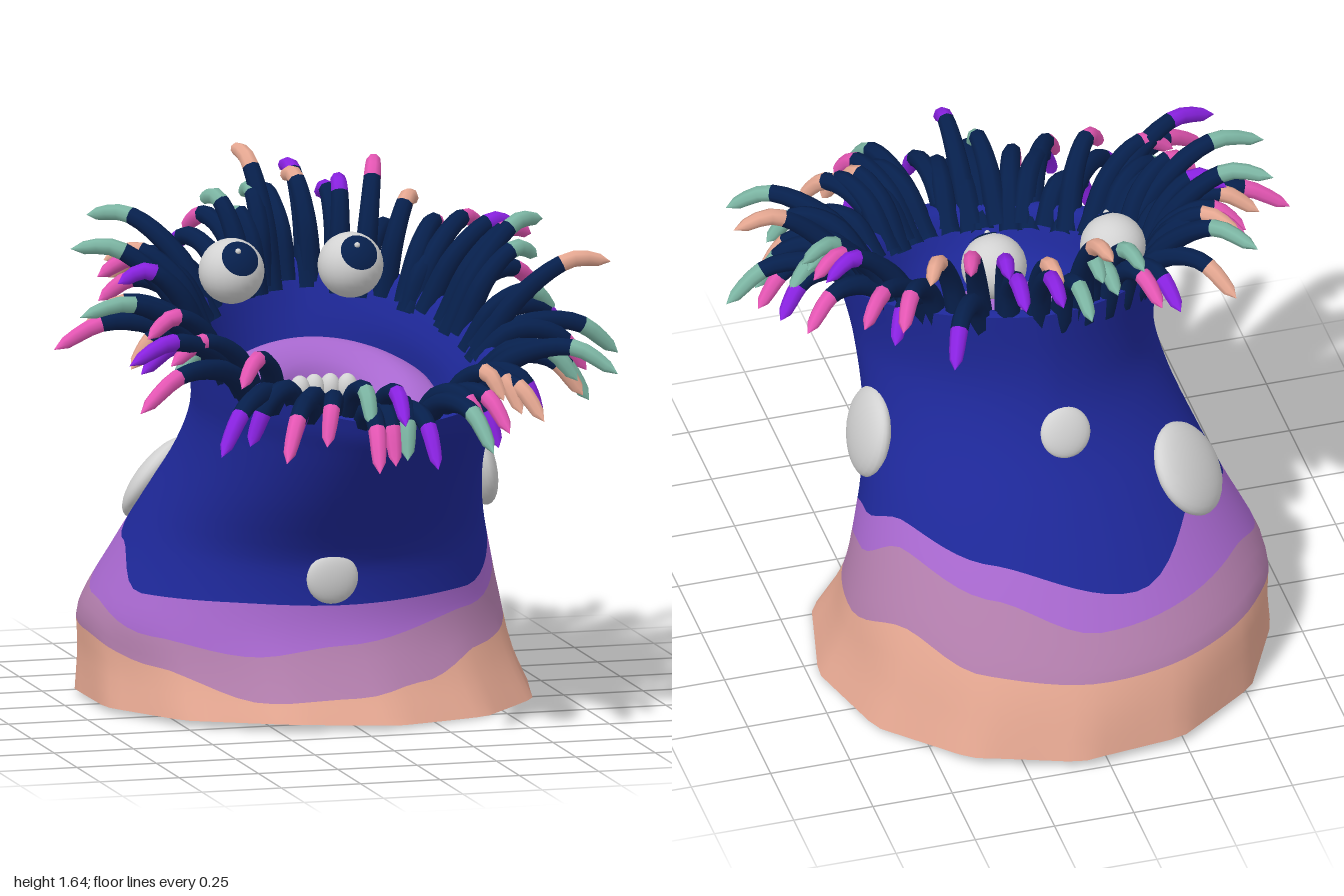
import * as THREE from 'three';

const mat = (name, color) => Object.assign(new THREE.MeshStandardMaterial({ color }), { name });
const white = mat('white', 0xd2d2d2), peach = mat('peach', 0xe6a892), mauve = mat('mauve', 0xb47fae);
const purple = mat('purple', 0xa868cf), blue = mat('blue', 0x1e2899), navy = mat('navy', 0x07204d);
const teal = mat('teal', 0x7cb5a3), pink = mat('pink', 0xe556b4), violet = mat('violet', 0x8a22e2);
const grey = mat('underside grey', 0xb2b2b2);

const TAU = Math.PI * 2, SIDES = 78, rad = THREE.MathUtils.degToRad, ramp = THREE.MathUtils.smoothstep;
let seed = 11;
const rand = () => (seed = (seed * 16807) % 2147483647) / 2147483647;
const vary = (s) => (rand() - 0.5) * 2 * s;

// Tilted oval rings: front z, front y, back z, back y, min x, max x
const OUTER = [
  [0.42, 0.03, -1.0, 0.03, -0.685, 0.72], [0.33, 0.15, -0.96, 0.15, -0.67, 0.66],
  [0.26, 0.28, -0.9, 0.28, -0.665, 0.62], [0.25, 0.42, -0.757, 0.5, -0.58, 0.57],
  [0.28, 0.53, -0.635, 0.67, -0.515, 0.53], [0.42, 0.7, -0.52, 0.83, -0.45, 0.49],
  [0.55, 0.85, -0.46, 0.97, -0.42, 0.485], [0.61, 0.92, -0.44, 1.12, -0.43, 0.5],
  [0.64, 0.98, -0.45, 1.31, -0.45, 0.53],
];
const INNER = [
  [0.64, 0.98, -0.45, 1.31, -0.45, 0.53], [0.56, 1.0, -0.4, 1.3, -0.4, 0.46],
  [0.48, 0.89, -0.35, 1.15, -0.37, 0.39], [0.34, 0.83, -0.31, 1.03, -0.35, 0.36],
  [0.31, 0.88, -0.28, 1.08, -0.33, 0.33], [0.22, 0.91, -0.2, 1.1, -0.24, 0.24],
  [0.13, 0.86, -0.12, 1.03, -0.15, 0.15], [0.11, 0.78, -0.1, 0.88, -0.13, 0.13],
  [0.01, 0.77, 0, 0.78, -0.005, 0.005],
];

// Where each long tentacle ends, by tip colour
const TIPS = [
  [teal, [[0.25, 0.94, 0.97], [0.74, 1.1, 0.63], [0.87, 1.08, 0.18], [0.71, 1.19, 0.04], [0.73, 1.44, -0.16],
    [-0.24, 1.48, -0.54], [-0.16, 1.4, -0.53], [-0.61, 1.46, -0.5], [-0.77, 1.43, -0.12], [-0.85, 1.29, 0.26]]],
  [peach, [[0.47, 0.99, 0.76], [0.36, 1.05, 0.7], [0.69, 1.0, 0.42], [0.85, 1.36, 0.17], [-0.11, 1.62, -0.65],
    [-0.62, 1.36, -0.28], [-0.76, 1.22, 0.0]]],
  [pink, [[0.33, 0.98, 0.87], [0.73, 1.22, -0.22], [0.62, 1.38, -0.46], [0.31, 1.58, -0.55], [-0.88, 1.16, 0.08],
    [-0.76, 1.05, 0.61], [-0.37, 0.92, 0.86], [-0.22, 0.95, 0.78], [-0.1, 0.89, 0.94]]],
  [violet, [[-0.03, 1.04, 0.98], [0.09, 0.89, 0.92], [-0.53, 0.92, 0.7], [-0.78, 1.19, 0.56], [-0.68, 1.12, 0.34],
    [0.07, 1.54, -0.73], [0.18, 1.52, -0.52], [0.5, 1.24, -0.38]]],
];

// Smooth surface through rings; angle 0 is the front, 90 degrees is +x.
// flatten(v) pulls in the back +x and front -x quarters.
function ringSurface(rings, flatten) {
  const spline = (f) => new THREE.CatmullRomCurve3(rings.map(f), false, 'catmullrom', 0.5);
  const front = spline((r) => new THREE.Vector3(r[5], r[1], r[0]));
  const back = spline((r) => new THREE.Vector3(r[4], r[3], r[2]));
  return (v, a) => {
    const f = front.getPoint(v), b = back.getPoint(v);
    const k = 1 - 0.08 * flatten(v) * Math.max(0, -Math.sin(2 * a));
    const s = Math.sin(a) * k, t = (1 - Math.cos(a) * k) / 2;
    return new THREE.Vector3((f.x + b.x) / 2 + (f.x - b.x) / 2 * s,
      f.y + (b.y - f.y) * t, f.z + (b.z - f.z) * t);
  };
}
const outerSmooth = ringSurface(OUTER, (v) => ramp(v, 0.5, 0.85));
const inner = ringSurface(INNER, (v) => 1 - ramp(v, 0.2, 0.4));

// The foot fades into an uneven 13-sided outline
function outer(v, a) {
  const p = outerSmooth(v, a), fade = Math.max(0, 1 - v / 0.25), step = TAU / 13;
  const local = ((a - rad(7.8) + step) % step) - step / 2;
  const k = 1 + (Math.cos(step / 2) / Math.cos(local) - 1) * fade;
  p.x *= k;
  p.z = -0.29 + (p.z + 0.29) * k;
  p.y -= 0.03 * fade * Math.max(0, Math.cos(a - rad(60)), 0.5 * Math.cos(a - rad(270)));
  return p;
}

// Find the surface parameter that gives a height at an angle
function atHeight(y, a) {
  let lo = 0, hi = 1;
  for (let i = 0; i < 24; i++) {
    const m = (lo + hi) / 2;
    if (outer(m, a).y < y) lo = m; else hi = m;
  }
  return lo;
}

// Closed band-coloured skin: bounds[k](angle) are the surface parameters between bands
function skin(name, surface, bounds, counts, materials) {
  const pos = [], index = [], geo = new THREE.BufferGeometry();
  const addRow = (k, t) => {
    for (let i = 0; i < SIDES; i++) {
      const a = i / SIDES * TAU, v0 = bounds[k](a), v1 = bounds[k + 1](a);
      pos.push(...surface(v0 + (v1 - v0) * t, a).toArray());
    }
  };
  addRow(0, 0);
  let row = 0;
  counts.forEach((n, k) => {
    geo.addGroup(index.length, n * SIDES * 6, k);
    for (let j = 1; j <= n; j++, row++) {
      addRow(k, j / n);
      for (let i = 0; i < SIDES; i++) {
        const a = row * SIDES + i, b = row * SIDES + (i + 1) % SIDES;
        index.push(a, b, a + SIDES, b, b + SIDES, a + SIDES);
      }
    }
  });
  geo.setAttribute('position', new THREE.Float32BufferAttribute(pos, 3));
  geo.setIndex(index);
  geo.computeVertexNormals();
  const mesh = new THREE.Mesh(geo, materials);
  mesh.name = name;
  return mesh;
}

// Wavy colour edge through [degrees, height] points
function wave(points) {
  return (a) => {
    const d = a * 360 / TAU, all = [...points, [360, points[0][1]]];
    const i = Math.max(1, all.findIndex((p) => p[0] >= d)), [d0, y0] = all[i - 1], [d1, y1] = all[i];
    return atHeight(y0 + (y1 - y0) * ramp(d, d0, d1), a);
  };
}

function ball(name, r, material, p, parent) {
  const m = new THREE.Mesh(new THREE.SphereGeometry(r, 24, 16), material);
  m.name = name;
  m.position.set(...p);
  parent.add(m);
  return m;
}

// Tapered tentacle arching from the rim to its coloured tip
const rimNormal = new THREE.Vector3(0, 0.957, 0.29);
function tentacle(base, tip, tipMaterial) {
  const at = (t, lift) => base.clone().lerp(tip, t).addScaledVector(rimNormal, lift);
  const curve = new THREE.CatmullRomCurve3([at(0, -0.05), at(0.28, 0.08), at(0.68, 0.1), tip]);
  const SEG = 14, RAD = 8, split = 10, v = new THREE.Vector3();
  const geo = new THREE.TubeGeometry(curve, SEG, 1, RAD), p = geo.attributes.position;
  for (let i = 0; i < p.count; i++) {
    const t = Math.floor(i / (RAD + 1)) / SEG, c = curve.getPointAt(t);
    const size = 0.039 * (1 - 0.42 * t) * Math.sqrt(Math.max(0, 1 - t ** 16));
    v.fromBufferAttribute(p, i).sub(c).multiplyScalar(size).add(c);
    p.setXYZ(i, v.x, v.y, v.z);
  }
  geo.addGroup(0, split * RAD * 6, 0);
  geo.addGroup(split * RAD * 6, (SEG - split) * RAD * 6, 1);
  const m = new THREE.Mesh(geo, [navy, tipMaterial]);
  m.name = 'tentacle';
  return m;
}

export function createModel() {
  const model = new THREE.Group();
  model.name = 'tentacledCreature';

  // Body with three wavy bands below the blue
  const peachTop = wave([[0, 0.09], [20, 0.12], [45, 0.19], [90, 0.25], [120, 0.33], [145, 0.27],
    [180, 0.25], [236, 0.26], [270, 0.22], [305, 0.16], [335, 0.08]]);
  const mauveTop = wave([[0, 0.24], [45, 0.31], [90, 0.43], [117, 0.53], [150, 0.47], [180, 0.38],
    [236, 0.41], [270, 0.33], [305, 0.25], [335, 0.21]]);
  const purpleTop = wave([[0, 0.36], [45, 0.37], [90, 0.53], [117, 0.6], [150, 0.56], [195, 0.46],
    [232, 0.61], [266, 0.5], [295, 0.37], [325, 0.37]]);
  model.add(skin('body', outer, [() => 0, peachTop, mauveTop, purpleTop, () => 1], [4, 3, 3, 18],
    [peach, mauve, purple, blue]));

  // Underside
  const foot = new THREE.Mesh(skin('', outer, [() => 0, () => 0], [1], [grey]).geometry, grey);
  const fp = foot.geometry.attributes.position;
  for (let i = 0; i < SIDES; i++) fp.setXYZ(i, 0, 0.025, -0.29);
  foot.geometry.clearGroups();
  foot.geometry.computeVertexNormals();
  foot.name = 'underside';
  model.add(foot);

  // Funnel, swollen lip and throat
  model.add(skin('mouth', inner, [0, 3 / 8, 6.3 / 8, 1].map((v) => () => v), [12, 14, 8],
    [blue, purple, blue]));

  // Teeth along the back of the throat
  for (let i = 0; i < 4; i++) {
    ball('tooth', 0.036, white, [-0.06 + i * 0.05, 0.965, -0.075 - (i % 3 ? 0.015 : 0)], model)
      .scale.set(0.9, 1.3, 0.9);
  }

  // Pale flattened spots: degrees, height, radius
  for (const [deg, y, r] of [[355, 0.445, 0.08], [91, 0.72, 0.14], [232, 0.65, 0.15], [184, 0.89, 0.08]]) {
    const a = rad(deg), v = atHeight(y, a), p = outer(v, a);
    const du = outer(v, a + 0.02).sub(p), dv = outer(v + 0.01, a).sub(p);
    const spot = ball('spot', r, white, p.toArray(), model);
    spot.quaternion.setFromUnitVectors(new THREE.Vector3(0, 0, 1), du.cross(dv).normalize());
    spot.scale.z = 0.36;
  }

  // Eyes
  for (const x of [-0.245, 0.13]) {
    const eye = new THREE.Group();
    eye.name = 'eye';
    eye.position.set(x, 1.325, -0.18);
    ball('eyeball', 0.1, white, [0, 0, 0], eye);
    const pupil = new THREE.Mesh(new THREE.SphereGeometry(0.103, 24, 8, 0, TAU, 0, 0.6), navy);
    pupil.name = 'pupil';
    pupil.quaternion.setFromUnitVectors(new THREE.Vector3(0, 1, 0),
      new THREE.Vector3(0.08, 0.55, 0.78).normalize());
    eye.add(pupil);
    ball('glint', 0.009, white, [0, 0.073, 0.073], eye);
    model.add(eye);
  }

  // Long tentacles, each rooted on the rim in the direction of its tip
  const fringe = new THREE.Group();
  fringe.name = 'tentacles';
  for (const [material, ends] of TIPS) {
    for (const [x, y, z] of ends) {
      const a = Math.atan2((x - 0.02) / 0.46, (z - 0.07) / 0.52);
      fringe.add(tentacle(inner(0.16, a), new THREE.Vector3(x, y, z), material));
    }
  }

  // Shorter tentacles filling the ring between them
  const FILL = 34;
  for (let i = 0; i < FILL; i++) {
    const a = (i + 0.5) / FILL * TAU, s = a + vary(0.25), k = (1 - Math.cos(a)) / 2;
    const base = inner(0.14, a), reach = 0.3 + vary(0.06);
    const tip = base.clone().addScaledVector(rimNormal, 0.04 + 0.02 * k + vary(0.12));
    tip.add(new THREE.Vector3(Math.sin(s), -0.29 * Math.cos(s), 0.957 * Math.cos(s)).multiplyScalar(reach));
    fringe.add(tentacle(base, tip, [teal, pink, violet, peach][Math.floor(rand() * 4)]));
  }
  model.add(fringe);
  return model;
}
